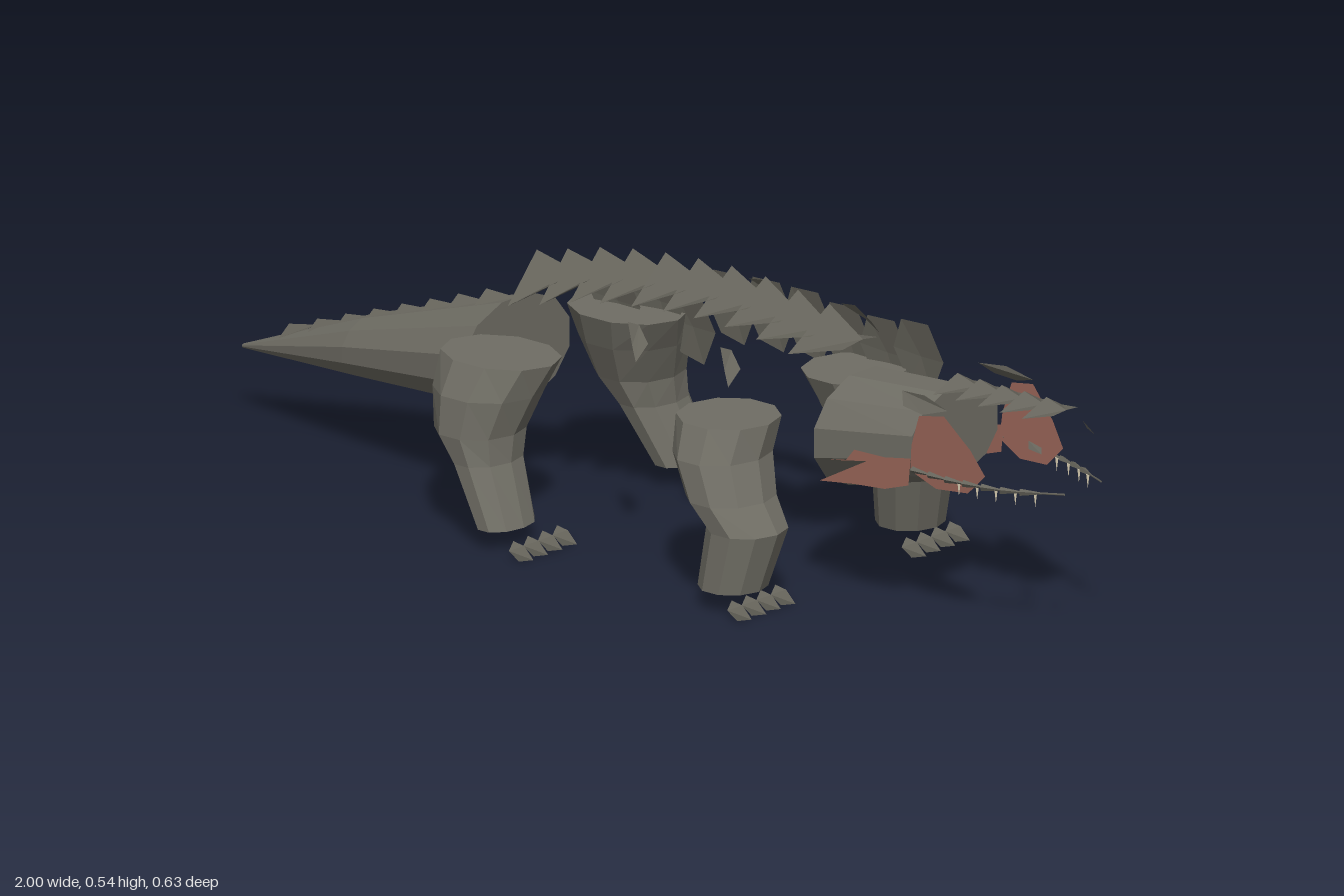
import * as THREE from 'three';

const mat = (color) => new THREE.MeshStandardMaterial({ color, side: THREE.DoubleSide });

export function createModel() {
  const root = new THREE.Group();
  const hide = mat(0x6f6d64), scaleGrey = mat(0x66645b), cheekRed = mat(0x9b6659), ivory = mat(0xd6cbb0);
  hide.name = 'hide grey'; scaleGrey.name = 'scale grey'; cheekRed.name = 'cheek red'; ivory.name = 'tooth ivory';

  // Faceted geometry from corner points and faces (fans)
  const facets = (pts, faces) => {
    const p = [];
    for (const f of faces)
      for (let i = 1; i < f.length - 1; i++) p.push(...pts[f[0]], ...pts[f[i]], ...pts[f[i + 1]]);
    const g = new THREE.BufferGeometry();
    g.setAttribute('position', new THREE.Float32BufferAttribute(p, 3));
    g.computeVertexNormals();
    return g;
  };
  const add = (name, geo, material, parent = root) => {
    const m = new THREE.Mesh(geo, material);
    m.name = name;
    parent.add(m);
    return m;
  };
  const group = (name) => {
    const g = new THREE.Group();
    g.name = name;
    root.add(g);
    return g;
  };

  // Loft through rings; each ring is a function of the angle giving a point
  const loft = (rings, n) => {
    const pts = [], faces = [], loop = [...Array(n).keys()];
    for (const r of rings) for (const i of loop) pts.push(r(((i + 0.5) / n) * Math.PI * 2));
    for (let k = 0; k < rings.length - 1; k++)
      for (const i of loop) {
        const j = (i + 1) % n, a = k * n, b = a + n;
        faces.push([a + i, a + j, b + j, b + i]);
      }
    faces.push([...loop].reverse(), loop.map((i) => i + n * (rings.length - 1)));
    return facets(pts, faces);
  };
  const across = (x, y, ry, rz) => (a) => [x, y + ry * Math.cos(a), rz * Math.sin(a)];
  const level = (y, x0, x1, z0, z1) => (a) =>
    [(x0 + x1) / 2 + ((x1 - x0) / 2) * Math.sin(a), y, (z0 + z1) / 2 + ((z1 - z0) / 2) * Math.cos(a)];

  // Tail and neck
  add('tail', loft([
    across(-1, 0.134, 0.004, 0.004),
    across(-0.7, 0.2, 0.058, 0.078),
    across(-0.35, 0.265, 0.105, 0.152),
  ], 12), hide);
  add('neck', loft([
    across(0.475, 0.302, 0.108, 0.138),
    across(0.695, 0.336, 0.086, 0.122),
  ], 12), hide);

  // Legs, with a bent knee
  const legRings = {
    hindLeg: [
      [0.33, -0.355, -0.115, 0.08, 0.268], [0.27, -0.345, -0.14, 0.1, 0.3], [0.2, -0.325, -0.165, 0.13, 0.31],
      [0.15, -0.275, -0.165, 0.15, 0.305], [0.04, -0.205, -0.12, 0.178, 0.31],
    ],
    frontLeg: [
      [0.33, 0.21, 0.4, 0.075, 0.268], [0.27, 0.23, 0.4, 0.1, 0.3], [0.2, 0.275, 0.43, 0.13, 0.31],
      [0.15, 0.325, 0.47, 0.15, 0.305], [0.04, 0.315, 0.44, 0.178, 0.31],
    ],
  };
  // Claw: a hooked wedge
  const claw = facets([
    [-0.022, 0.034, 0], [-0.018, 0.02, 0.017], [-0.018, 0.02, -0.017],
    [0, 0.002, 0.01], [0, 0.002, -0.01], [0.026, 0.008, 0], [0.004, 0.03, 0],
  ], [[0, 1, 6], [0, 6, 2], [1, 3, 5, 6], [2, 6, 5, 4], [3, 4, 5], [0, 2, 4, 3, 1]]);
  for (const s of [1, -1])
    for (const [name, rows] of Object.entries(legRings)) {
      add(name, loft(rows.map(([y, a, b, c, d]) => level(y, a, b, s * c, s * d)), 10), hide);
      const foot = group(name + 'Claws');
      for (let i = 0; i < 4; i++)
        add('claw', claw, scaleGrey, foot).position.set(name === 'hindLeg' ? -0.075 : 0.445, 0, s * (0.18 + i * 0.04));
    }

  // Ridged scale with swept-back wings, used along back, tail and snout
  const ridge = facets([
    [-0.5, -0.4, 1], [-0.5, -0.4, -1], [-0.3, 0.6, 0], [-0.1, -0.2, 0],
    [0.5, 0, 0.62], [0.5, 0, -0.62], [0.55, 0.12, 0],
  ], [[0, 4, 6, 2], [1, 2, 6, 5], [0, 2, 3], [1, 3, 2], [3, 6, 4, 0], [3, 1, 5, 6]]);
  const ridgeScale = (parent, x, y, len, high, half, tilt) => {
    const m = add('ridgeScale', ridge, scaleGrey, parent);
    m.position.set(x, y, 0);
    m.scale.set(len, high, half);
    m.rotation.z = tilt;
  };
  const back = group('backScales');
  const arch = new THREE.CatmullRomCurve3([
    [-0.26, 0.425], [-0.1, 0.463], [0.06, 0.482], [0.22, 0.485], [0.42, 0.462],
  ].map(([x, y]) => new THREE.Vector3(x, y, 0)));
  for (let i = 0; i < 10; i++) {
    const p = arch.getPointAt(i / 9), t = arch.getTangentAt(i / 9);
    ridgeScale(back, p.x, p.y, 0.1, 0.085, 0.08, Math.atan2(t.y, t.x));
  }
  const tailScales = group('tailScales');
  for (let i = 0; i < 8; i++) {
    const f = 1 - i / 9.5;
    ridgeScale(tailScales, -0.39 - i * 0.068, 0.152 + 0.208 * ((0.61 - i * 0.068) / 0.65),
      0.075, 0.04 * f + 0.01, 0.075 * f, 0.34);
  }
  const snout = group('snoutScales');
  for (let i = 0; i < 5; i++) ridgeScale(snout, 0.718 + i * 0.053, 0.433, 0.056, 0.03, 0.055, 0);

  // Flat plates along the right flank
  const flank = group('flankScales');
  const hex = [[-0.055, 0.01], [-0.03, 0.07], [0.03, 0.07], [0.055, 0.0], [0.02, -0.07], [-0.03, -0.055]];
  const flankRow = [
    [-0.26, 0.335, -0.17], [-0.18, 0.345, -0.195], [-0.12, 0.305, -0.215], [-0.03, 0.36, -0.222], [0.06, 0.365, -0.226],
    [0.15, 0.365, -0.228], [0.24, 0.355, -0.23], [0.33, 0.35, -0.23], [0.41, 0.36, -0.23],
  ];
  for (const [cx, cy, cz] of flankRow) {
    const pts = [[cx, cy, cz - 0.006], ...hex.map(([x, y]) => [cx + x, cy + y, cz - y * -0.17 - x * 0.08])];
    add('flankScale', facets(pts, hex.map((_, i) => [0, 1 + ((i + 1) % 6), 1 + i])), scaleGrey, flank);
  }

  // Small shoulder scales
  const shoulder = facets([
    [-0.03, 0.45, 0.166], [0, 0.452, 0.17], [0.03, 0.425, 0.18], [0.025, 0.396, 0.208], [0.005, 0.42, 0.195],
  ], [[0, 4, 1], [1, 4, 3, 2]]);
  for (const s of [1, -1])
    for (const x of [0.09, 0.31]) {
      const m = add('shoulderScale', shoulder, scaleGrey);
      m.position.x = x;
      m.scale.z = s;
    }

  // Cheeks, jaw scales and teeth
  const lip = new THREE.CatmullRomCurve3([
    [0.7, 0.3, 0.128], [0.8, 0.296, 0.12], [0.9, 0.294, 0.095], [1, 0.297, 0.05],
  ].map((p) => new THREE.Vector3(...p)));
  const sheet = (outline, z) => facets(outline.map(([x, y]) => [x, y, z(x, y)]), [outline.map((_, i) => i)]);
  const cheek = sheet([
    [0.7, 0.345], [0.695, 0.295], [0.75, 0.27], [0.82, 0.275], [0.86, 0.315], [0.83, 0.36], [0.775, 0.415], [0.72, 0.405],
  ], (x, y) => 0.125 - (x - 0.7) * 0.1 + (y - 0.34) * 0.07);
  const flap = sheet([
    [0.6, 0.295], [0.49, 0.235], [0.53, 0.24], [0.57, 0.245], [0.64, 0.25], [0.695, 0.268], [0.7, 0.32], [0.64, 0.31],
    [0.57, 0.31], [0.55, 0.285], [0.51, 0.28],
  ], (x) => 0.136 - (x - 0.49) * 0.04);
  const brow = facets([
    [0.66, 0.435, 0.105], [0.72, 0.44, 0.112], [0.78, 0.425, 0.118], [0.73, 0.41, 0.13], [0.68, 0.415, 0.125],
  ], [[0, 4, 3, 2, 1]]);
  const nostril = facets([
    [0.935, 0.392, 0.075], [0.96, 0.382, 0.068], [0.965, 0.372, 0.074], [0.94, 0.378, 0.08],
  ], [[0, 3, 2, 1]]);
  const spike = new THREE.ConeGeometry(0.0065, 0.055, 4).toNonIndexed();
  const tooth = new THREE.ConeGeometry(0.004, 0.026, 4).toNonIndexed();
  spike.computeVertexNormals();
  tooth.computeVertexNormals();
  const up = new THREE.Vector3(0, 1, 0);
  for (const s of [1, -1]) {
    const side = group(s > 0 ? 'frontFacingJaw' : 'rearFacingJaw');
    side.scale.z = s;
    add('cheek', cheek, cheekRed, side);
    add('cheekFlap', flap, cheekRed, side);
    add('brow', brow, scaleGrey, side);
    add('nostril', nostril, scaleGrey, side);
    add('lip', new THREE.TubeGeometry(lip, 10, 0.002, 4), scaleGrey, side);
    for (let i = 0; i < 7; i++) {
      const t = 0.1 + i * 0.12, p = lip.getPointAt(t);
      const m = add('jawScale', spike, scaleGrey, side);
      m.position.copy(p);
      m.quaternion.setFromUnitVectors(up, lip.getTangentAt(t));
      if (i < 2) continue;
      const k = add('tooth', tooth, ivory, side);
      k.position.set(p.x, p.y - 0.014, p.z - 0.002);
      k.rotation.z = Math.PI;
    }
  }
  return root;
}
